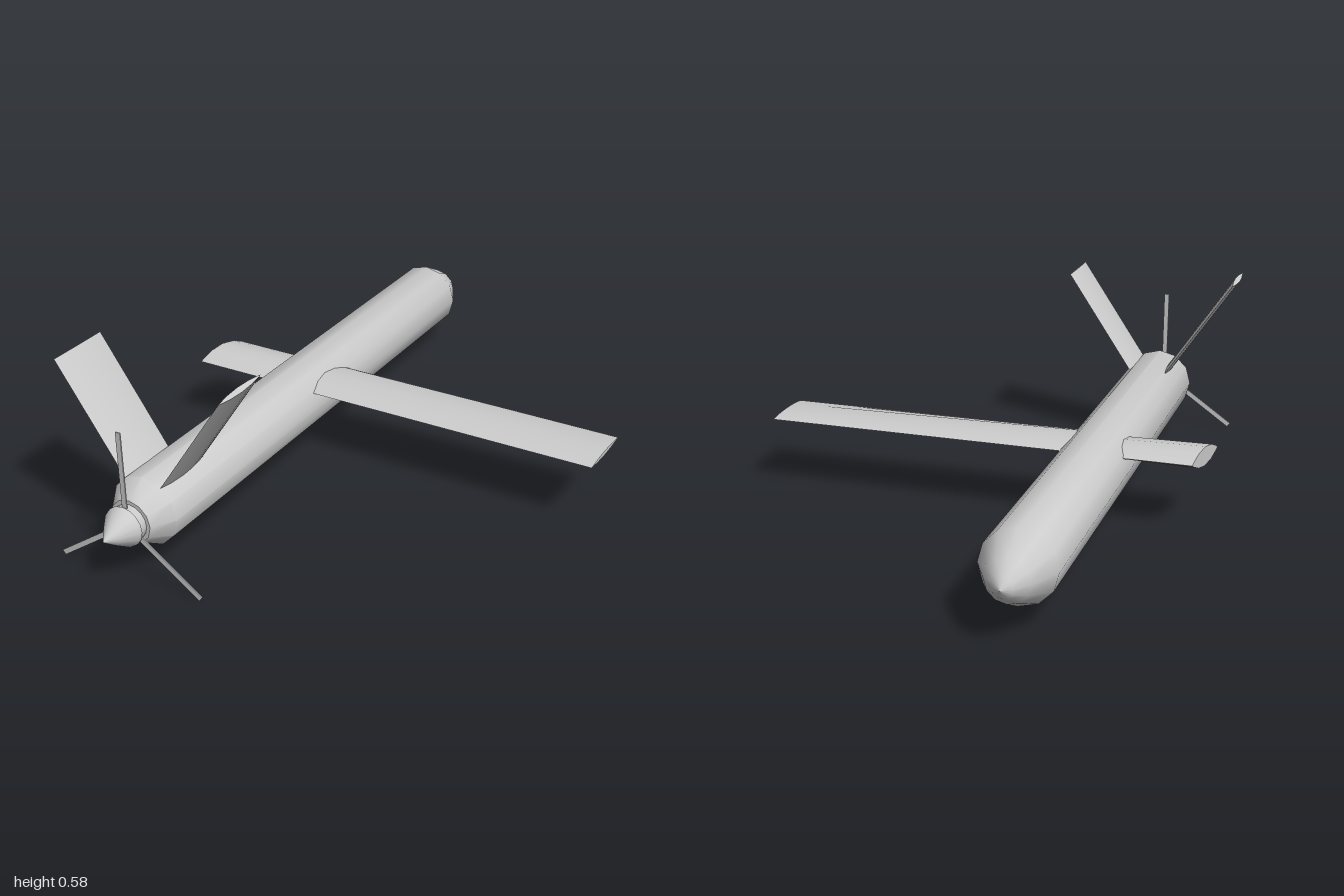
import * as THREE from 'three';
import { toCreasedNormals } from 'three/addons/utils/BufferGeometryUtils.js';

const material = new THREE.MeshStandardMaterial({ color: 0xcccccc, side: THREE.DoubleSide });
const AXIS_X = -0.345, AXIS_Y = 0.176;

function add(parent, name, geometry) {
  const mesh = new THREE.Mesh(geometry, material);
  mesh.name = name;
  parent.add(mesh);
  return mesh;
}

// Body of revolution along z from [radius, z] pairs
function turned(profile, sides) {
  const points = profile.map(([r, z]) => new THREE.Vector2(r, z));
  const geometry = new THREE.LatheGeometry(points, sides);
  geometry.rotateX(Math.PI / 2);
  return toCreasedNormals(geometry, 0.7);
}

// Lens-section aerofoil lofted along x; each station gives x, thickness, z range and tip skew
function aerofoil(stations, n = 6) {
  const positions = [], index = [], count = n * 2;
  for (const { x, t, z0, z1, skew = 0 } of stations) {
    for (let i = 0; i < count; i++) {
      const a = (i / count) * Math.PI * 2;
      const u = (1 - Math.cos(a)) / 2;
      const y = Math.sign(Math.sin(a)) * 2 * t * u * (1 - u);
      positions.push(x + skew * u, y, z0 + (z1 - z0) * u);
    }
  }
  for (let s = 0; s < stations.length - 1; s++) {
    for (let i = 0; i < count; i++) {
      const a = s * count + i, b = s * count + (i + 1) % count;
      index.push(a, b, a + count, b, b + count, a + count);
    }
  }
  // End caps
  const last = (stations.length - 1) * count;
  for (let i = 1; i < count - 1; i++) {
    index.push(0, i + 1, i, last, last + i, last + i + 1);
  }
  const geometry = new THREE.BufferGeometry();
  geometry.setAttribute('position', new THREE.Float32BufferAttribute(positions, 3));
  geometry.setIndex(index);
  return toCreasedNormals(geometry, 0.6);
}

export function createModel() {
  const model = new THREE.Group();
  model.name = 'propellerAircraft';

  const body = new THREE.Group();
  body.name = 'body';
  body.position.set(AXIS_X, AXIS_Y, 0);
  model.add(body);

  // Fuselage with rounded nose and tapered tail
  add(body, 'fuselage', turned([
    [0, -1], [0.03, -0.98], [0.063, -0.94], [0.109, -0.85],
    [0.109, 0.815], [0.067, 0.88], [0, 0.88],
  ], 12));

  // Propeller hub and spinner
  add(body, 'propellerHub', turned([[0, 0.87], [0.055, 0.87], [0.055, 0.912], [0, 0.912]], 16));
  add(body, 'spinner', turned([[0, 0.908], [0.062, 0.908], [0.06, 0.918], [0.03, 0.962], [0, 1]], 16));

  // Three thin propeller blades
  for (const degrees of [90, 215, 325]) {
    const blade = new THREE.BoxGeometry(0.25, 0.016, 0.004);
    blade.translate(0.165, 0, 0.898);
    add(body, 'propellerBlade', blade).rotation.z = THREE.MathUtils.degToRad(degrees);
  }

  // V-tail fins
  for (const degrees of [56, 124]) {
    const fin = aerofoil([
      { x: 0.08, t: 0.018, z0: 0.615, z1: 0.815 },
      { x: 0.488, t: 0.018, z0: 0.615, z1: 0.815 },
    ]);
    add(body, 'tailFin', fin).rotation.z = THREE.MathUtils.degToRad(degrees);
  }

  // Long left wing and short right stub, thinning towards the left tip
  add(model, 'leftWing', aerofoil([
    { x: -0.345, t: 0.047, z0: -0.125, z1: 0.078 },
    { x: 0.683, t: 0.014, z0: -0.125, z1: 0.078 },
  ])).position.y = 0.227;
  add(model, 'rightWingStub', aerofoil([
    { x: -0.645, t: 0.06, z0: -0.125, z1: 0.064, skew: -0.04 },
    { x: -0.345, t: 0.047, z0: -0.125, z1: 0.064 },
  ])).position.y = 0.225;

  return model;
}
